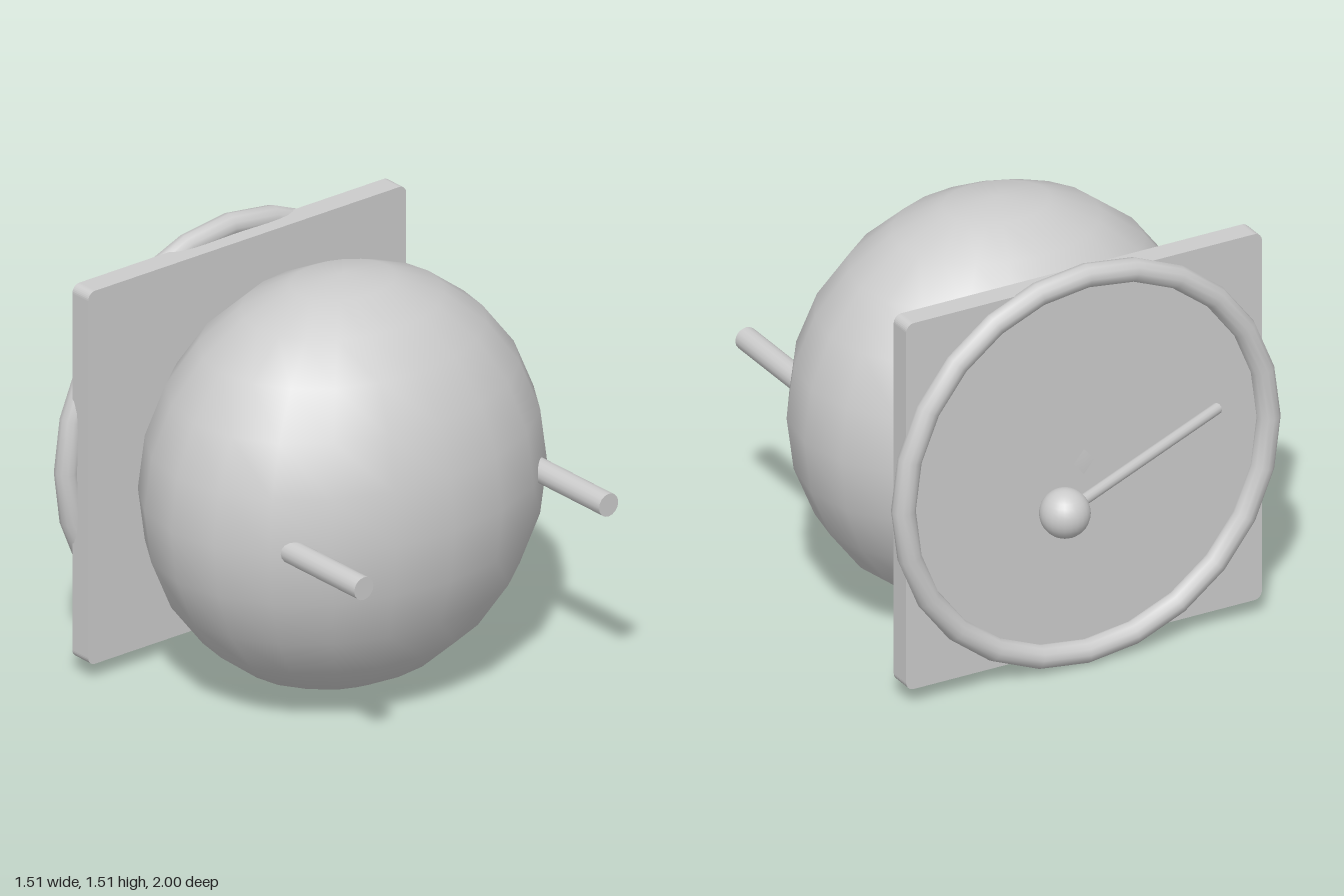
import * as THREE from 'three';

const material = new THREE.MeshStandardMaterial({ color: 0xcccccc });

function part(name, geometry, parent) {
  const mesh = new THREE.Mesh(geometry, material);
  mesh.name = name;
  parent.add(mesh);
  return mesh;
}

// Cylinder running between two points
function rod(name, from, to, radius, sides, parent) {
  const direction = to.clone().sub(from);
  const mesh = part(name, new THREE.CylinderGeometry(radius, radius, direction.length(), sides), parent);
  mesh.position.copy(from).add(to).multiplyScalar(0.5);
  mesh.quaternion.setFromUnitVectors(new THREE.Vector3(0, 1, 0), direction.normalize());
  return mesh;
}

// Square outline with rounded corners
function roundedSquare(half, radius) {
  const shape = new THREE.Shape();
  const c = half - radius;
  shape.absarc(c, c, radius, 0, Math.PI / 2);
  shape.absarc(-c, c, radius, Math.PI / 2, Math.PI);
  shape.absarc(-c, -c, radius, Math.PI, Math.PI * 1.5);
  shape.absarc(c, -c, radius, Math.PI * 1.5, Math.PI * 2);
  shape.closePath();
  return shape;
}

export function createModel() {
  const model = new THREE.Group();
  const centerY = 0.76;

  // Flattened round body
  const body = part('body', new THREE.SphereGeometry(0.75, 20, 12), model);
  body.scale.z = 0.8;
  body.position.set(0, centerY, 0.23);

  // Square back plate
  const plate = part('backPlate', new THREE.ExtrudeGeometry(roundedSquare(0.695, 0.03), {
    depth: 0.085, bevelEnabled: false, curveSegments: 4,
  }), model);
  plate.position.set(0, centerY, -0.365);

  // Ring on the back of the plate
  const ring = part('backRing', new THREE.TorusGeometry(0.713, 0.042, 12, 24), model);
  ring.position.set(0, centerY, -0.377);

  // Pair of pegs pointing forward
  for (const [name, side] of [['leftPeg', 1], ['rightPeg', -1]]) {
    rod(name, new THREE.Vector3(side * 0.535, 0.763, 0.5),
      new THREE.Vector3(side * 0.535, 0.763, 1), 0.042, 16, model);
  }

  // Slanted stick with a ball at its end, behind the plate
  const stick = new THREE.Group();
  stick.name = 'ballStick';
  model.add(stick);
  const tip = new THREE.Vector3(-0.447, 0.905, -0.492);
  const ballCenter = new THREE.Vector3(0.39, 0.905, -0.912);
  rod('stickShaft', tip, ballCenter, 0.02, 12, stick);
  part('stickBall', new THREE.SphereGeometry(0.088, 24, 16), stick).position.copy(ballCenter);

  return model;
}
